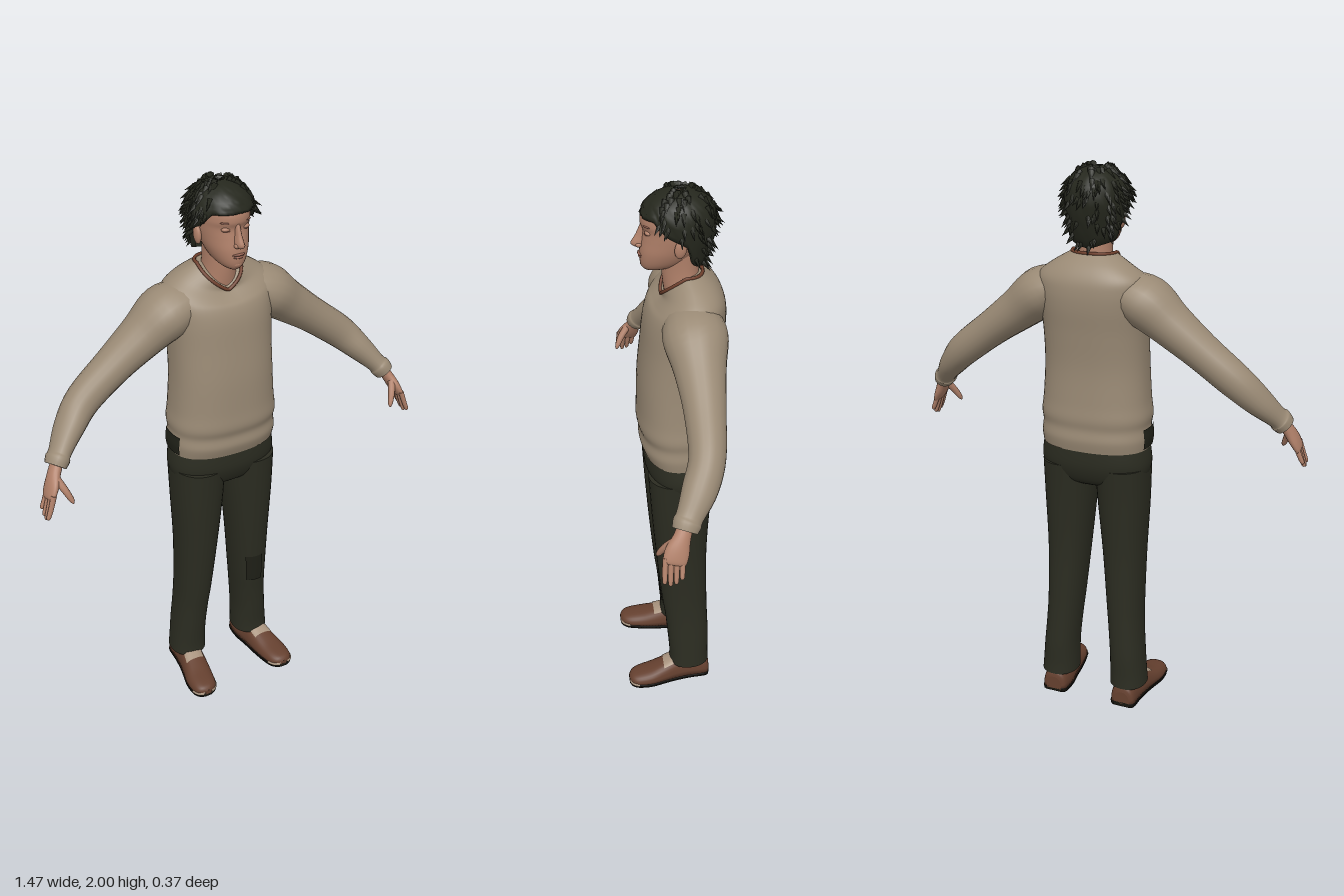
import * as THREE from 'three';
import { mergeGeometries } from 'three/addons/utils/BufferGeometryUtils.js';

const mat = (name, color, side = THREE.FrontSide) => {
  const m = new THREE.MeshStandardMaterial({ color, side });
  m.name = name;
  return m;
};
const V = (x, y, z) => new THREE.Vector3(x, y, z);
const pw = (v, p) => Math.sign(v) * Math.abs(v) ** p;

// Catmull-Rom resampling of equally long rows of numbers
function smooth(rows, k = 6) {
  const out = [], n = rows.length;
  for (let i = 0; i < n - 1; i++) {
    const a = rows[Math.max(i - 1, 0)], b = rows[i], c = rows[i + 1], d = rows[Math.min(i + 2, n - 1)];
    for (let j = 0; j < k; j++) {
      const t = j / k;
      out.push(b.map((_, q) => b[q] + 0.5 * t * (c[q] - a[q] + t * (2 * a[q] - 5 * b[q] + 4 * c[q] - d[q]
        + t * (3 * (b[q] - c[q]) + d[q] - a[q])))));
    }
  }
  out.push(rows[n - 1]);
  return out;
}

// Skin a list of point rings; closed rings wrap round, caps close the ends
function loft(rings, { closed = true, caps = true } = {}) {
  const m = rings[0].length, pts = rings.flat(), idx = [];
  const last = closed ? m : m - 1;
  for (let i = 0; i < rings.length - 1; i++) for (let j = 0; j < last; j++) {
    const a = i * m + j, b = i * m + (j + 1) % m, c = a + m, d = b + m;
    idx.push(a, b, d, a, d, c);
  }
  if (caps) [rings[0], rings[rings.length - 1]].forEach((r, e) => {
    const o = pts.length;
    pts.push(...r, r.reduce((s, p) => s.add(p), V(0, 0, 0)).divideScalar(m));
    for (let j = 0; j < m; j++) {
      const a = o + j, b = o + (j + 1) % m;
      idx.push(o + m, e ? a : b, e ? b : a);
    }
  });
  // turn the faces outward
  let vol = 0;
  for (let i = 0; i < idx.length; i += 3) vol += pts[idx[i]].dot(V(0, 0, 0).crossVectors(pts[idx[i + 1]], pts[idx[i + 2]]));
  if (vol < 0) idx.reverse();
  const g = new THREE.BufferGeometry().setFromPoints(pts);
  g.setIndex(idx);
  g.computeVertexNormals();
  return g;
}

// Level ring, row = [y, cx, cz, rx, rzFront, rzBack, frontDrop]; angle 0 faces front
function ring(row, { n = 36, p = 1, a0 = 0, a1 = Math.PI * 2, grow = 0, side = 1 } = {}) {
  const [y, cx, cz, rx, rf, rb, drop = 0] = row, open = a1 - a0 < 6.28;
  return Array.from({ length: n }, (_, i) => {
    const a = a0 + (a1 - a0) * i / (open ? n - 1 : n), c = Math.cos(a);
    const fold = Math.max(0, 1 - Math.acos(c) / (Math.PI / 2));
    return V(side * (cx + (rx + grow) * pw(Math.sin(a), p)), y - drop * fold,
      cz + ((c > 0 ? rf : rb) + grow) * pw(c, p));
  });
}
const body = (rows, o = {}) => loft(smooth(rows).map(r => ring(r, o)));
const patch = (rows, lo, hi, o) => loft(smooth(rows, 12).filter(r => r[0] >= lo && r[0] <= hi)
  .map(r => ring(r, { n: 10, grow: 0.004, ...o })), { closed: false, caps: false });

// Limb along a path, row = [x, y, z, rNormal, rDepth]
function limb(rows, side, n = 20, k = 5) {
  const s = smooth(rows, k), P = s.map(r => V(r[0], r[1], r[2]));
  return loft(s.map((r, i) => {
    const T = P[Math.min(i + 1, P.length - 1)].clone().sub(P[Math.max(i - 1, 0)]).normalize();
    const N = V(-T.y, T.x, 0).normalize(), B = V(0, 0, 0).crossVectors(T, N);
    return Array.from({ length: n }, (_, j) => {
      const a = j / n * Math.PI * 2;
      const q = P[i].clone().addScaledVector(N, r[3] * Math.cos(a)).addScaledVector(B, r[4] * Math.sin(a));
      q.x *= side;
      return q;
    });
  }));
}

// Shoe slice across z, row = [z, cx, rx, h]
function slice([z, cx, rx, h], side, y0, grow = 0, a0 = 0, a1 = Math.PI) {
  return Array.from({ length: 17 }, (_, i) => {
    const a = a0 + (a1 - a0) * i / 16;
    return V(side * (cx + (rx + grow) * pw(Math.cos(a), 0.8)), y0 + (h + grow - y0) * Math.abs(Math.sin(a)) ** 0.7, z);
  });
}

// Hair surface: a runs round the head, t from crown to hairline
const HAIRLINE = [[0, 1.915], [0.25, 1.912], [0.36, 1.87], [0.46, 1.85], [0.54, 1.83], [0.62, 1.76], [1, 1.728]];
function hairPoint(a, t, scale = 1) {
  const u = Math.acos(Math.cos(a)) / Math.PI;
  const i = Math.max(1, HAIRLINE.findIndex(h => h[0] >= u - 1e-6));
  const [u0, y0] = HAIRLINE[i - 1], [u1, y1] = HAIRLINE[i];
  const bottom = y0 + (y1 - y0) * (u - u0) / (u1 - u0);
  const y = bottom + (1.993 - bottom) * Math.cos(t * Math.PI / 2);
  const s = scale * (y > 1.9 ? Math.sqrt(Math.max(0, 1 - ((y - 1.9) / 0.094) ** 2)) : 1);
  const f = Math.max(0, (1.88 - y) / 0.15) ** 1.5;
  const c = Math.cos(a);
  return V(s * (0.108 - 0.022 * f) * Math.sin(a), y, -0.03 + s * (c > 0 ? 0.13 : 0.12 - 0.04 * f) * c);
}

export function createModel() {
  const g = new THREE.Group();
  g.name = 'standingMan';
  const D = THREE.DoubleSide;
  const skin = mat('skin', 0xb08069), sweater = mat('sweater', 0x9a8a75), trousers = mat('trousers', 0x2b2c21);
  const hairMat = mat('hair', 0x25271d, D), leather = mat('shoeLeather', 0x65402f), sole = mat('shoeSole', 0x17150f);
  const trim = mat('collarTrim', 0x6e3f2c), dark = mat('darkCloth', 0x202118, D), pale = mat('paleTan', 0xa8937e, D);
  const lip = mat('lips', 0x966353);
  const add = (name, geo, m) => {
    const mesh = new THREE.Mesh(geo, m);
    mesh.name = name;
    g.add(mesh);
    return mesh;
  };
  const ball = (name, m, x, y, z, sx, sy, sz) => {
    const b = add(name, new THREE.SphereGeometry(1, 16, 10), m);
    b.position.set(x, y, z);
    b.scale.set(sx, sy, sz);
    return b;
  };

  // Sweater body with V neck
  const torso = [
    [1.02, 0, -0.025, 0.196, 0.125, 0.135, 0], [1.06, 0, -0.025, 0.2, 0.138, 0.142, 0], [1.1, 0, -0.025, 0.196, 0.136, 0.138, 0],
    [1.14, 0, -0.025, 0.2, 0.146, 0.142, 0], [1.2, 0, -0.025, 0.193, 0.144, 0.138, 0], [1.32, 0, -0.025, 0.186, 0.14, 0.135, 0],
    [1.44, 0, -0.035, 0.186, 0.138, 0.135, 0], [1.53, 0, -0.045, 0.193, 0.137, 0.136, 0], [1.59, 0, -0.05, 0.198, 0.126, 0.132, 0.01],
    [1.635, 0, -0.055, 0.192, 0.11, 0.118, 0.035], [1.675, 0, -0.058, 0.142, 0.09, 0.09, 0.055],
    [1.712, 0, -0.045, 0.078, 0.077, 0.06, 0.085]];
  add('sweaterBody', body(torso, { p: 0.84, n: 48 }), sweater);
  add('hipTag', patch(torso, 1.025, 1.1, { p: 0.84, a0: -1.85, a1: -1.25 }), dark);
  const collar = new THREE.CatmullRomCurve3(ring(torso[11], { p: 0.84 }), true);
  add('collar', new THREE.TubeGeometry(collar, 96, 0.006, 8, true), trim);

  // Trousers
  add('pelvis', body([[0.875, 0, -0.02, 0.15, 0.07, 0.08], [0.9, 0, -0.025, 0.185, 0.1, 0.108], [0.96, 0, -0.028, 0.203, 0.125, 0.127],
    [1.04, 0, -0.028, 0.193, 0.125, 0.128]], { p: 0.88, n: 48 }), trousers);
  const leg = [[0.075, 0.14, -0.05, 0.069, 0.073, 0.08], [0.12, 0.138, -0.05, 0.067, 0.072, 0.078],
    [0.2, 0.134, -0.05, 0.064, 0.078, 0.079], [0.3, 0.126, -0.045, 0.064, 0.082, 0.08], [0.4, 0.119, -0.037, 0.067, 0.087, 0.085],
    [0.6, 0.11, -0.025, 0.077, 0.094, 0.095], [0.8, 0.104, -0.022, 0.091, 0.106, 0.108], [0.95, 0.1, -0.025, 0.098, 0.118, 0.118]];
  add('kneePatch', patch(leg, 0.36, 0.5, { a0: -0.6, a1: 0.25, p: 0.9 }), dark);

  // Shoe slices from heel to toe
  const shoe = [[-0.13, 0.14, 0.03, 0.06], [-0.118, 0.14, 0.046, 0.085], [-0.06, 0.14, 0.05, 0.095], [0, 0.148, 0.05, 0.094],
    [0.05, 0.156, 0.053, 0.075], [0.1, 0.165, 0.055, 0.058], [0.15, 0.17, 0.049, 0.048], [0.175, 0.172, 0.035, 0.04], [0.186, 0.172, 0.014, 0.028]];
  const shoeRows = smooth(shoe, 4);

  for (const s of [1, -1]) {
    const w = s > 0 ? 'left' : 'right';
    add(w + 'Sleeve', limb([[0.1, 1.59, -0.055, 0.065, 0.09], [0.19, 1.555, -0.056, 0.09, 0.108], [0.28, 1.487, -0.058, 0.077, 0.086],
      [0.39, 1.405, -0.057, 0.065, 0.069], [0.51, 1.312, -0.047, 0.06, 0.06], [0.58, 1.243, -0.014, 0.049, 0.058],
      [0.635, 1.182, 0.026, 0.036, 0.045], [0.648, 1.167, 0.036, 0.04, 0.047], [0.662, 1.148, 0.045, 0.036, 0.042]], s), sweater);

    // Hand
    add(w + 'Palm', limb([[0.65, 1.165, 0.04, 0.02, 0.025], [0.672, 1.13, 0.056, 0.02, 0.029], [0.69, 1.095, 0.072, 0.019, 0.039],
      [0.705, 1.065, 0.082, 0.014, 0.039], [0.709, 1.055, 0.085, 0.008, 0.033]], s), skin);
    for (let f = 0; f < 4; f++) {
      const z = 0.056 + f * 0.0185, len = [0.058, 0.074, 0.08, 0.07][f];
      add(w + 'Finger', limb([[0.7, 1.078, z, 0.01, 0.01], [0.716, 1.066 - len * 0.5, z + 0.004, 0.009, 0.009],
        [0.727, 1.066 - len * 0.9, z + 0.006, 0.0075, 0.0075], [0.729, 1.066 - len, z + 0.006, 0.003, 0.003]], s, 10, 3), skin);
    }
    add(w + 'Thumb', limb([[0.675, 1.12, 0.08, 0.014, 0.014], [0.658, 1.085, 0.108, 0.012, 0.013],
      [0.644, 1.052, 0.125, 0.009, 0.009], [0.64, 1.04, 0.13, 0.003, 0.003]], s, 10, 3), skin);

    add(w + 'TrouserLeg', body(leg, { side: s, p: 0.9 }), trousers);

    // Shoe
    add(w + 'ShoeUpper', loft(shoeRows.map(r => slice(r, s, 0.01))), leather);
    add(w + 'ShoeSole', loft(shoeRows.map(r => [...slice([r[0], r[1], r[2], 0.014], s, 0.012, 0.003),
      V(s * (r[1] - r[2]), 0, r[0]), V(s * (r[1] + r[2]), 0, r[0])])), sole);
    add(w + 'ShoeTongue', loft(shoeRows.filter(r => r[0] > 0 && r[0] < 0.06).map(r => slice(r, s, 0.01, 0.003, 0.9, 2.24)),
      { closed: false, caps: false }), pale);
    add(w + 'ToeRim', loft(shoeRows.filter(r => r[0] > 0.14).map(r => slice([r[0], r[1], r[2], 0.02], s, 0.012, 0.004)),
      { closed: false, caps: false }), pale);

    // Ear, eyelid and brow
    ball(w + 'Ear', skin, s * 0.086, 1.822, -0.022, 0.012, 0.033, 0.02).rotation.x = -0.15;
    ball(w + 'Eyelid', skin, s * 0.034, 1.862, 0.076, 0.017, 0.009, 0.012);
    ball(w + 'LashLine', lip, s * 0.034, 1.857, 0.081, 0.014, 0.002, 0.008);
    ball(w + 'Brow', lip, s * 0.036, 1.886, 0.081, 0.021, 0.0035, 0.01).rotation.y = s * 0.35;
    ball(w + 'Nostril', skin, s * 0.011, 1.81, 0.104, 0.008, 0.008, 0.011);
  }

  // Neck and head
  add('neck', body([[1.6, 0, -0.045, 0.08, 0.06, 0.055], [1.66, 0, -0.045, 0.063, 0.07, 0.052], [1.72, 0, -0.038, 0.056, 0.068, 0.055],
    [1.8, 0, -0.03, 0.058, 0.06, 0.06]]), skin);
  add('head', body([[1.72, 0, 0.055, 0.018, 0.028, 0.03], [1.732, 0, 0.04, 0.038, 0.055, 0.06], [1.755, 0, 0.02, 0.056, 0.081, 0.08],
    [1.79, 0, 0, 0.071, 0.101, 0.09], [1.83, 0, -0.02, 0.08, 0.115, 0.1], [1.862, 0, -0.02, 0.083, 0.111, 0.1],
    [1.888, 0, -0.02, 0.084, 0.119, 0.1], [1.92, 0, -0.02, 0.08, 0.113, 0.1], [1.955, 0, -0.02, 0.062, 0.08, 0.08],
    [1.972, 0, -0.02, 0.035, 0.045, 0.045]], { p: 0.94 }), skin);
  add('nose', body([[1.882, 0, 0.085, 0.008, 0.012, 0.02], [1.845, 0, 0.088, 0.011, 0.025, 0.02], [1.818, 0, 0.092, 0.015, 0.037, 0.02],
    [1.806, 0, 0.092, 0.014, 0.032, 0.02], [1.8, 0, 0.09, 0.008, 0.018, 0.02]], { n: 16 }), skin);
  ball('upperLip', lip, 0, 1.777, 0.097, 0.023, 0.005, 0.011);
  ball('lowerLip', lip, 0, 1.768, 0.095, 0.02, 0.006, 0.011);
  ball('chin', skin, 0, 1.742, 0.08, 0.024, 0.016, 0.02);

  // Hair cap with uneven locks, tucked under at its edge
  let seed = 7;
  const rnd = () => (seed = (seed * 16807) % 2147483647) / 2147483647;
  const rings = [];
  for (let i = 0; i <= 15; i++) rings.push(Array.from({ length: 56 }, (_, j) => {
    const a = j / 56 * Math.PI * 2;
    return hairPoint(a, Math.max(0.03, Math.min(i / 14, 1)), i === 15 ? 0.82 : 1 + (rnd() - 0.4) * 0.05);
  }));
  add('hairCap', loft(rings, { caps: false }), hairMat);

  // Pointed locks over the crown, sides and nape
  const locks = [];
  for (let i = 0; i < 170; i++) {
    const a = (0.27 + 1.46 * rnd()) * Math.PI, t = 0.15 + 0.85 * rnd(), p = hairPoint(a, t, 0.97);
    const dir = V(Math.sin(a) * 0.5, -0.75 + rnd() * 0.5, Math.cos(a) * 0.5).normalize();
    const cone = new THREE.ConeGeometry(0.011, 0.045, 5).translate(0, 0.012, 0);
    cone.applyQuaternion(new THREE.Quaternion().setFromUnitVectors(V(0, 1, 0), dir)).translate(p.x, p.y, p.z);
    locks.push(cone);
  }
  add('hairLocks', mergeGeometries(locks), hairMat);
  return g;
}
